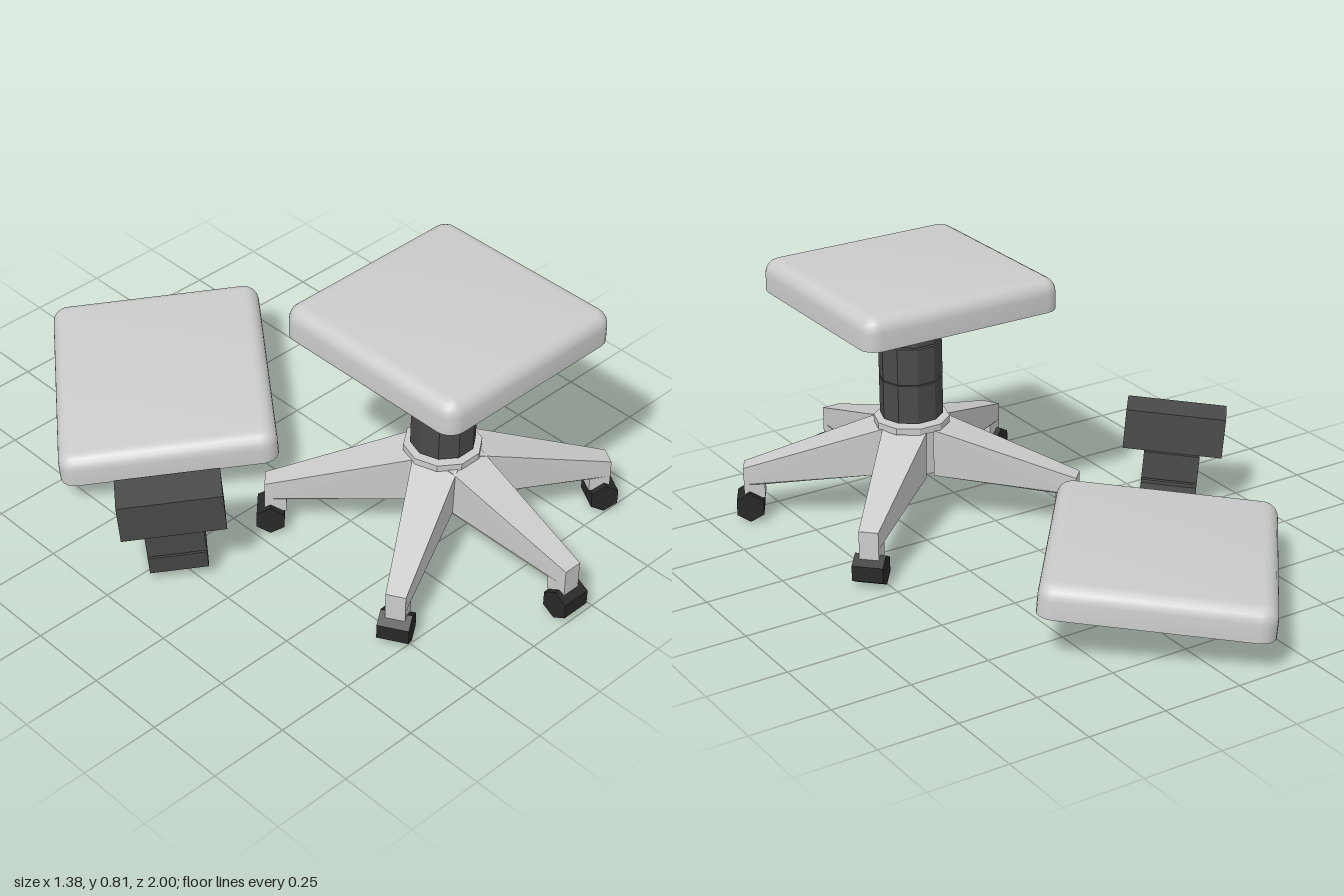
import * as THREE from 'three';
import { toCreasedNormals } from 'three/addons/utils/BufferGeometryUtils.js';
import { ConvexGeometry } from 'three/addons/geometries/ConvexGeometry.js';

const grey = new THREE.MeshStandardMaterial({ color: 0xcccccc });
const greyFlat = new THREE.MeshStandardMaterial({ color: 0xcccccc, flatShading: true });
const dark = new THREE.MeshStandardMaterial({ color: 0x4a4a4a, flatShading: true });
const black = new THREE.MeshStandardMaterial({ color: 0x282828, flatShading: true });

function add(parent, name, geometry, material, x = 0, y = 0, z = 0) {
  const mesh = new THREE.Mesh(geometry, material);
  mesh.name = name;
  mesh.position.set(x, y, z);
  parent.add(mesh);
  return mesh;
}

// Cushion: rounded rectangle rings, flat below, rounded over at the top edge
function cushionGeometry(width, length, height, radius = 0.05) {
  const steps = 5, positions = [], index = [];
  const count = 4 * (steps + 1);
  const rings = [[0, 0]];
  const round = 0.045;
  for (let i = 0; i <= 5; i++) {
    const a = (i / 5) * Math.PI / 2;
    rings.push([round * (1 - Math.cos(a)), height - round + round * Math.sin(a)]);
  }
  for (const [inset, y] of rings) {
    for (let c = 0; c < 4; c++) {
      const sx = c === 0 || c === 3 ? 1 : -1, sz = c < 2 ? 1 : -1;
      for (let s = 0; s <= steps; s++) {
        const a = (c + s / steps) * Math.PI / 2;
        positions.push(
          sx * (width / 2 - radius) + (radius - inset) * Math.cos(a), y,
          sz * (length / 2 - radius) + (radius - inset) * Math.sin(a));
      }
    }
  }
  for (let r = 0; r < rings.length - 1; r++) {
    for (let i = 0; i < count; i++) {
      const j = (i + 1) % count, a = r * count + i, b = r * count + j;
      index.push(a, a + count, b, b, a + count, b + count);
    }
  }
  // bottom and top caps
  const bottom = positions.length / 3, top = bottom + 1, last = (rings.length - 1) * count;
  positions.push(0, 0, 0, 0, height, 0);
  for (let i = 0; i < count; i++) {
    const j = (i + 1) % count;
    index.push(bottom, i, j, top, last + j, last + i);
  }
  const geometry = new THREE.BufferGeometry();
  geometry.setAttribute('position', new THREE.Float32BufferAttribute(positions, 3));
  geometry.setIndex(index);
  return toCreasedNormals(geometry, 0.7);
}

// Ten-sided drum with corners on the x axis
function drum(radius, y0, y1) {
  return new THREE.CylinderGeometry(radius, radius, y1 - y0, 10)
    .rotateY(Math.PI / 2).translate(0, (y0 + y1) / 2, 0);
}

function createLeg(angle) {
  const leg = new THREE.Group();
  leg.name = 'leg';
  leg.rotation.y = angle;
  // tapering arm: half width, height, distance from the centre
  const corners = [[0.07, 0.32, 0.085], [0.065, 0.165, 0.085], [0.03, 0.18, 0.525],
    [0.03, 0.125, 0.525], [0.03, 0.125, 0.46]];
  const points = corners.flatMap(([w, y, z]) =>
    [new THREE.Vector3(w, y, z), new THREE.Vector3(-w, y, z)]);
  add(leg, 'legArm', new ConvexGeometry(points), greyFlat);
  add(leg, 'casterPost', new THREE.BoxGeometry(0.06, 0.09, 0.065), greyFlat, 0, 0.125, 0.4925);
  const wheel = new THREE.CylinderGeometry(0.048, 0.048, 0.095, 6)
    .rotateZ(Math.PI / 2).rotateX(Math.PI / 2);
  add(leg, 'caster', wheel, black, 0, 0.053, 0.507);
  return leg;
}

function createStool() {
  const stool = new THREE.Group();
  stool.name = 'stool';
  stool.position.set(0.178, 0, 0.45);
  for (const degrees of [0, 60, 135, -135, -60]) {
    stool.add(createLeg(THREE.MathUtils.degToRad(degrees)));
  }
  add(stool, 'hubCore', drum(0.09, 0.165, 0.318), greyFlat);
  add(stool, 'hubCollar', drum(0.118, 0.315, 0.336), greyFlat);
  // telescopic column in three sections
  for (const [y0, y1] of [[0.345, 0.468], [0.472, 0.588], [0.594, 0.722]]) {
    add(stool, 'columnSection', drum(0.098, y0, y1), dark);
  }
  add(stool, 'seat', cushionGeometry(0.667, 0.667, 0.1), grey, 0, 0.72, -0.003);
  return stool;
}

function createBackrest() {
  const group = new THREE.Group();
  group.name = 'detachedBackrest';
  // lies on the floor, turned and slightly tilted
  const x = new THREE.Vector3(0.787, 0.083, 0.618).normalize();
  const y = new THREE.Vector3().crossVectors(new THREE.Vector3(-0.622, -0.03, 0.783), x).normalize();
  const z = new THREE.Vector3().crossVectors(x, y);
  group.quaternion.setFromRotationMatrix(new THREE.Matrix4().makeBasis(x, y, z));
  group.position.set(-0.09, 0.12, -0.502);
  add(group, 'backCushion', cushionGeometry(0.67, 0.79, 0.1), grey);

  // bar sections under the cushion and out past its edge: z start, z end, bottom
  for (const [z0, z1, low] of [[0.105, 0.196, -0.092], [0.2, 0.393, -0.085],
    [0.397, 0.513, -0.087], [0.517, 0.635, -0.085]]) {
    add(group, 'supportBar', new THREE.BoxGeometry(0.174, -low, z1 - z0), dark,
      0, low / 2, (z0 + z1) / 2);
  }
  // bent elbow with a bevelled outer corner
  const profile = new THREE.Shape([[0.637, -0.085], [0.71, -0.085], [0.755, -0.055],
    [0.762, 0.01], [0.637, 0.01]].map(([a, b]) => new THREE.Vector2(-a, b)));
  const elbow = new THREE.ExtrudeGeometry(profile, { depth: 0.174, bevelEnabled: false })
    .translate(0, 0, -0.087).rotateY(Math.PI / 2);
  add(group, 'supportElbow', elbow, dark);
  add(group, 'supportUpright', new THREE.BoxGeometry(0.174, 0.088, 0.118), dark, 0, 0.058, 0.7);
  add(group, 'mountBlock', new THREE.BoxGeometry(0.31, 0.128, 0.125), dark, 0, 0.167, 0.713);
  return group;
}

export function createModel() {
  const model = new THREE.Group();
  model.name = 'brokenOfficeChair';
  model.add(createStool(), createBackrest());
  return model;
}
